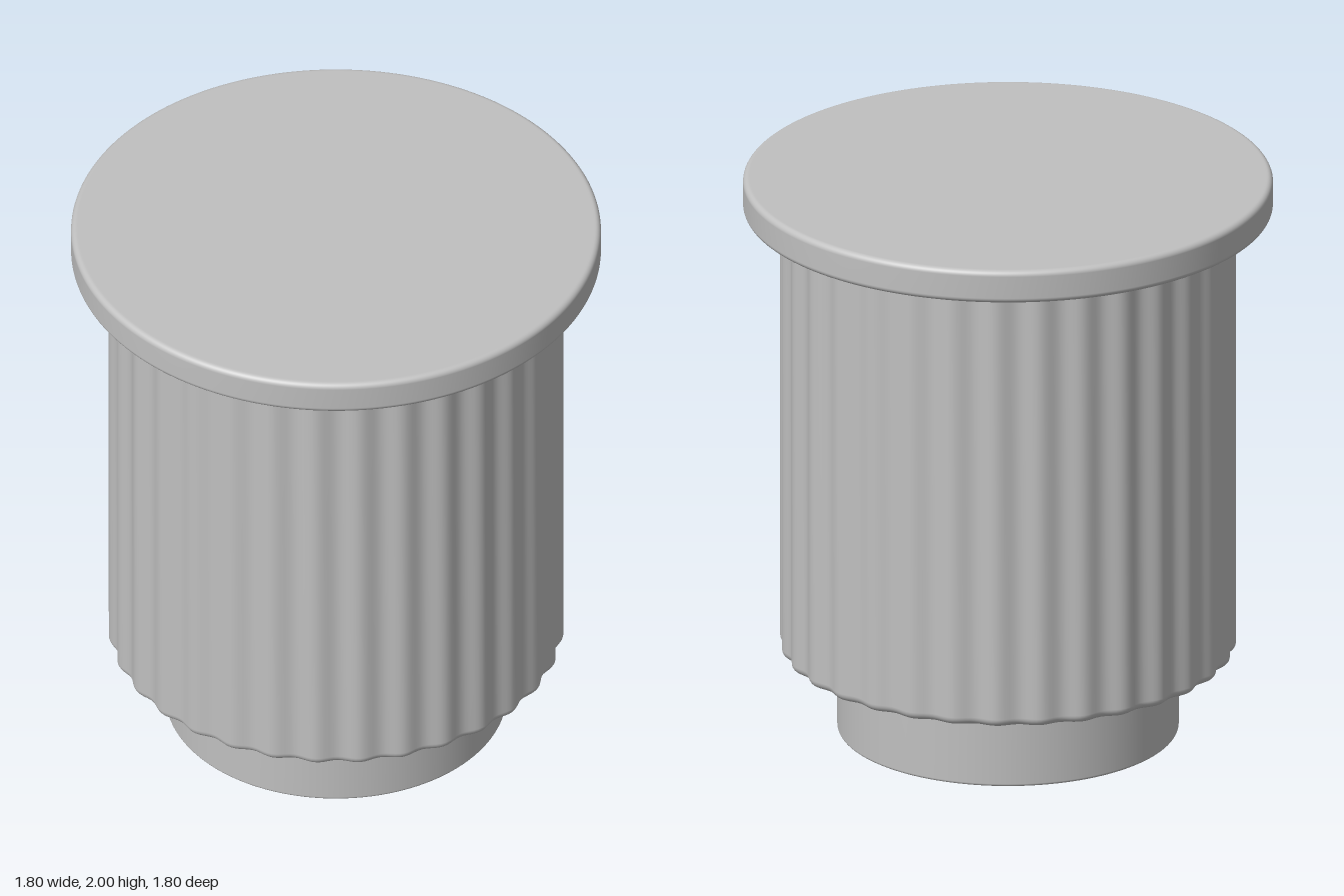
import * as THREE from 'three';
import { mergeVertices } from 'three/addons/utils/BufferGeometryUtils.js';

const FLUTES = 32;

// Closed round profile with softened rims, from bottom centre to top centre
function roundedProfile(radius, y0, y1, bevel) {
  const points = [new THREE.Vector2(0, y0), new THREE.Vector2(radius - bevel * 1.3, y0)];
  const steps = 8;
  for (const [cy, start] of [[y0 + bevel, -Math.PI / 2], [y1 - bevel, 0]]) {
    for (let i = 0; i <= steps; i++) {
      const a = start + (i / steps) * Math.PI / 2;
      points.push(new THREE.Vector2(radius - bevel + Math.cos(a) * bevel, cy + Math.sin(a) * bevel));
    }
  }
  points.push(new THREE.Vector2(radius - bevel * 1.3, y1), new THREE.Vector2(0, y1));
  return points;
}

// Turned drum whose radius ripples around the axis
function flutedDrum(radius, y0, y1, bevel, depth) {
  let geometry = new THREE.LatheGeometry(roundedProfile(radius, y0, y1, bevel), FLUTES * 10);
  const p = geometry.attributes.position;
  for (let i = 0; i < p.count; i++) {
    const x = p.getX(i), z = p.getZ(i);
    const ripple = 1 - depth * (0.5 - 0.5 * Math.cos(FLUTES * Math.atan2(x, z)));
    p.setX(i, x * ripple);
    p.setZ(i, z * ripple);
  }
  geometry.deleteAttribute('normal');
  geometry.deleteAttribute('uv');
  geometry = mergeVertices(geometry, 1e-5);
  geometry.computeVertexNormals();
  return geometry;
}

export function createModel() {
  const group = new THREE.Group();
  const grey = new THREE.MeshStandardMaterial({ color: 0xc0c0c0 });
  grey.name = 'plain grey';

  const add = (name, geometry) => {
    const mesh = new THREE.Mesh(geometry, grey);
    mesh.name = name;
    group.add(mesh);
  };

  // Recessed plinth, fluted body and overhanging round top
  add('base', new THREE.LatheGeometry(roundedProfile(0.58, 0, 0.295, 0.01), 128));
  add('flutedBody', flutedDrum(0.775, 0.288, 1.885, 0.03, 0.022));
  add('tabletop', new THREE.LatheGeometry(roundedProfile(0.9, 1.882, 2, 0.02), 160));

  return group;
}
